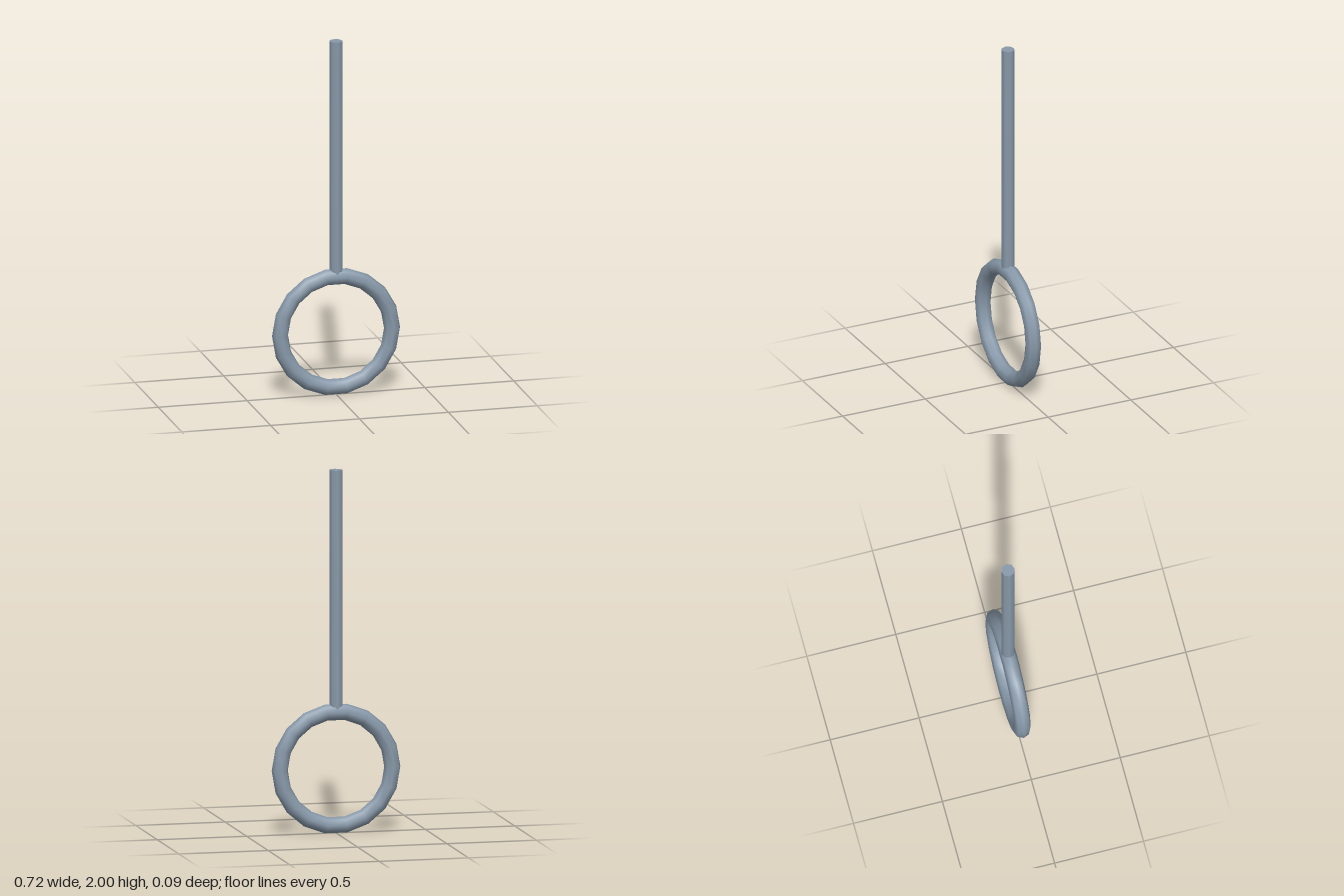
import * as THREE from 'three';

export function createModel() {
  const model = new THREE.Group();
  const steel = new THREE.MeshStandardMaterial({ color: 0x8899aa });
  steel.name = 'blueGreySteel';

  const ringRadius = 0.315, tubeRadius = 0.045, postRadius = 0.037;
  const ringY = 0.354;

  // Upright ring: 18 segments, octagonal section
  const ring = new THREE.Mesh(new THREE.TorusGeometry(ringRadius, tubeRadius, 8, 18), steel);
  ring.name = 'ring';
  ring.position.y = ringY;

  // Post, with its foot sunk into the top of the ring
  const foot = ringY + ringRadius, top = 2;
  const post = new THREE.Mesh(
    new THREE.CylinderGeometry(postRadius, postRadius, top - foot, 8), steel);
  post.name = 'post';
  post.position.y = (top + foot) / 2;

  model.add(ring, post);
  return model;
}
